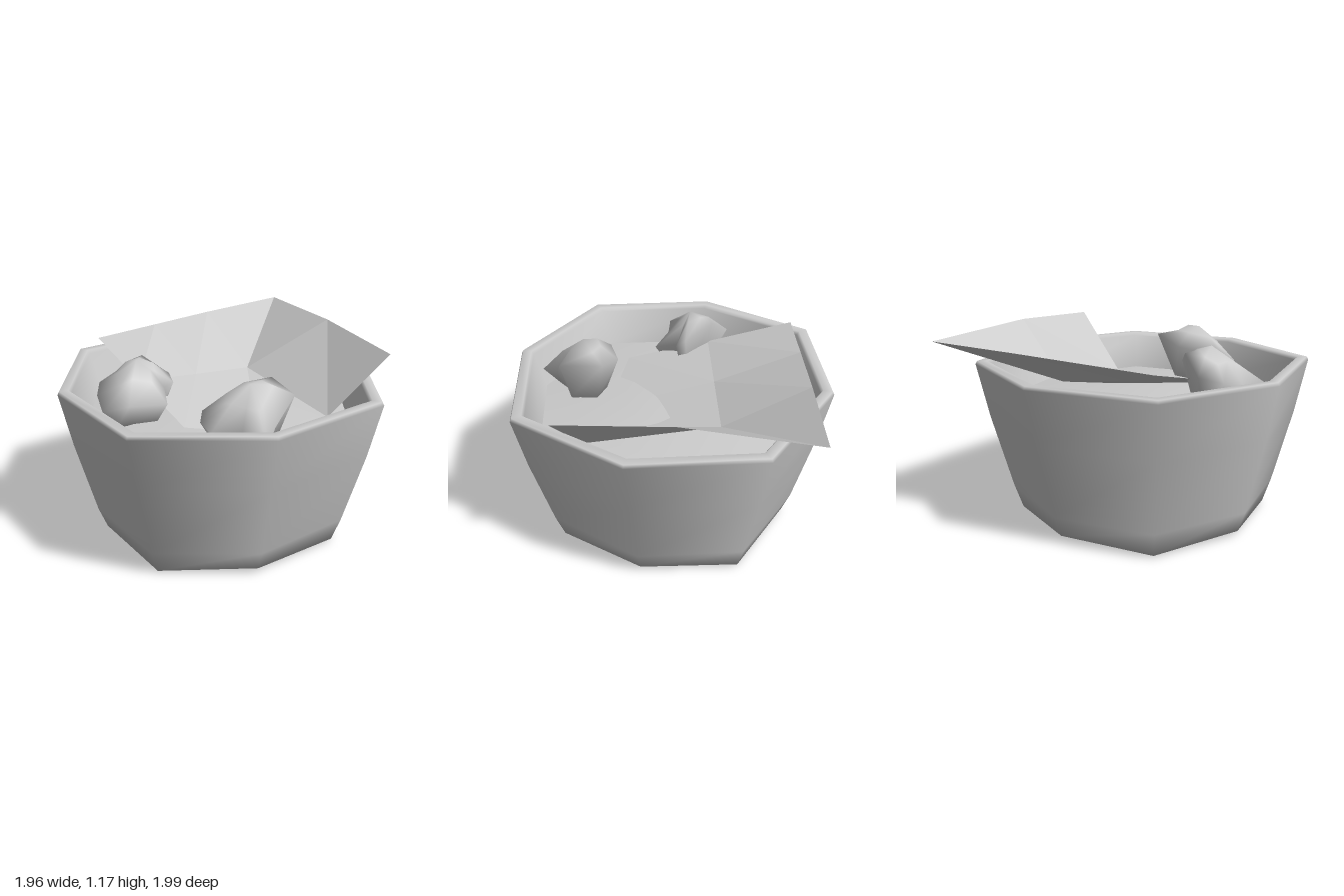
import * as THREE from 'three';
import { mergeVertices } from 'three/addons/utils/BufferGeometryUtils.js';

const grey = (options = {}) => new THREE.MeshStandardMaterial({ color: 0xcccccc, ...options });

// Skins a grid of points; closed rings run clockwise from above, bottom ring first.
function skin(rows, closed) {
  const n = rows[0].length;
  const index = [];
  for (let i = 0; i < rows.length - 1; i++) {
    for (let j = 0; j < (closed ? n : n - 1); j++) {
      const a = i * n + j, b = i * n + (j + 1) % n;
      index.push(a, a + n, b, b, a + n, b + n);
    }
  }
  let geometry = new THREE.BufferGeometry();
  geometry.setAttribute('position', new THREE.Float32BufferAttribute(rows.flat(2), 3));
  geometry.setIndex(index);
  geometry = mergeVertices(geometry, 1e-4);
  geometry.computeVertexNormals();
  return geometry;
}

// Squarish octagon: the diagonal corners reach a little further out.
function octagon(radius, y, diagonalDrop = 0) {
  return Array.from({ length: 8 }, (_, i) => {
    const a = i * Math.PI / 4, odd = i % 2;
    const r = radius * (odd ? 1.06 : 1);
    return [r * Math.cos(a), y - odd * diagonalDrop, 0.01 + r * Math.sin(a)];
  });
}

// Irregular crumpled lump from its widest outline, a peak and a resting height.
function crumple(outline, peak, floorY) {
  const n = outline.length;
  const centre = [0, 1, 2].map(k => outline.reduce((s, p) => s + p[k], 0) / n);
  const mix = (p, q, t) => p.map((v, k) => v + (q[k] - v) * t);
  const base = [centre[0], floorY, centre[2]];
  return skin([
    outline.map(() => base),
    outline.map(p => { const q = mix(base, p, 0.62); return [q[0], floorY + 0.02, q[2]]; }),
    outline,
    outline.map((p, i) => { const q = mix(p, peak, 0.5); return [q[0], q[1] + (i % 2 ? 0.0 : 0.025), q[2]]; }),
    outline.map(() => peak),
  ], true);
}

export function createModel() {
  const model = new THREE.Group();
  const add = (name, geometry, material) => {
    const mesh = new THREE.Mesh(geometry, material);
    mesh.name = name;
    model.add(mesh);
  };

  // Tub: domed underside, flared wall, rounded rim, inner wall
  const profile = [[0, 0], [0.74, 0.03], [0.79, 0.16], [0.91, 0.62], [0.98, 0.955],
    [0.97, 0.975], [0.915, 0.975], [0.90, 0.955], [0.83, 0.73]];
  add('tub', skin(profile.map(([r, y]) => octagon(r, y, r === 0.74 ? 0.02 : 0)), true), grey());

  // Slightly domed fill inside the tub
  add('fill', skin([[0.84, 0.735], [0.6, 0.765], [0.3, 0.79], [0, 0.8]]
    .map(([r, y]) => octagon(r, y)), true), grey());

  // Folded sheet: sloping main panel, with a flap rising past the crease
  add('foldedSheet', skin([
    [[-0.62, 1.07, -0.62], [-0.21, 1.09, -0.735], [0.2, 1.11, -0.85], [0.77, 1.13, -1.0]],
    [[-0.47, 0.94, -0.11], [-0.07, 0.89, -0.24], [0.33, 0.845, -0.37], [0.84, 1.167, -0.24]],
    [[-0.33, 0.82, 0.39], [0.12, 0.72, 0.39], [0.57, 0.76, 0.385], [0.94, 1.13, 0.42]],
  ], false), grey({ side: THREE.DoubleSide, flatShading: true }));

  // Crumpled balls
  add('crumpledBallFront', crumple([
    [0, 1.0, 0.35], [0.2, 1.06, 0.38], [0.235, 1.045, 0.64], [0.09, 0.9, 0.72], [-0.01, 0.85, 0.86],
    [-0.1, 0.9, 0.72], [-0.25, 0.88, 0.64], [-0.29, 0.92, 0.57], [-0.25, 0.95, 0.48],
  ], [0, 1.11, 0.57], 0.74), grey());
  add('crumpledBallSide', crumple([
    [-0.59, 0.98, -0.21], [-0.44, 1.09, -0.14], [-0.31, 1.01, 0], [-0.30, 0.97, 0.06], [-0.36, 0.95, 0.07],
    [-0.38, 0.9, 0.22], [-0.6, 0.9, 0.19], [-0.76, 0.9, 0.22], [-0.75, 0.92, 0], [-0.71, 0.95, -0.13],
  ], [-0.51, 1.12, 0.02], 0.74), grey());

  return model;
}
